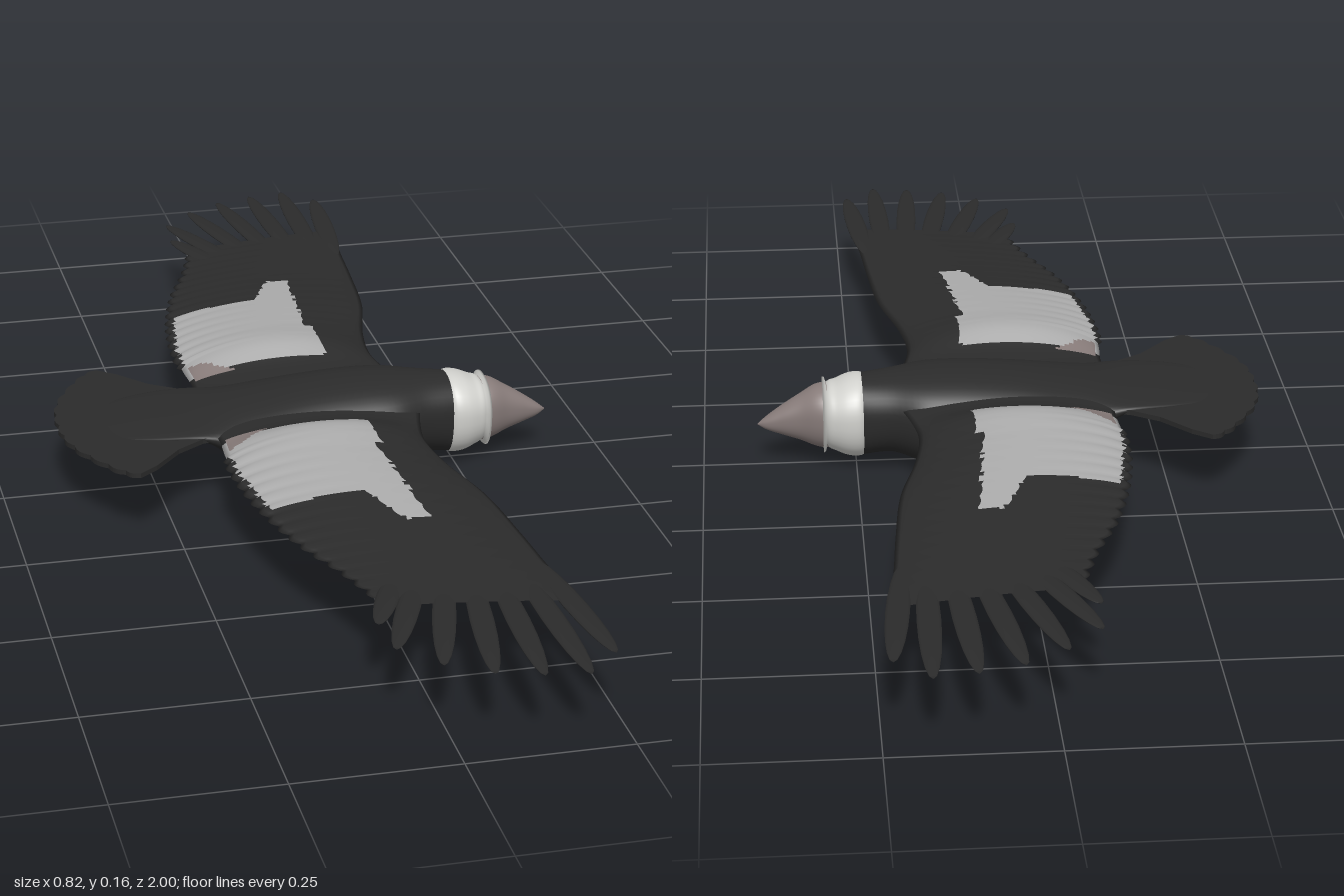
import * as THREE from 'three';

const mat = (name, color) => Object.assign(new THREE.MeshStandardMaterial({ color }), { name });

// Smooth curve through rows of [position, value, value, ...]
function profile(rows) {
  const n = rows[0].length - 1;
  const f = new THREE.CubicInterpolant(rows.map(r => r[0]), rows.flatMap(r => r.slice(1)), n, new Float32Array(n));
  return t => Array.from(f.evaluate(t));
}

// Skin over closed rings; pick(i, j, centre) gives the material index of each cell
function loft(rings, flip = false, pick = () => 0) {
  const n = rings[0].length, pts = rings.flat(), buckets = [[], [], []];
  const mid = new THREE.Vector3();
  for (let i = 0; i < rings.length - 1; i++) {
    for (let j = 0; j < n; j++) {
      const k = (j + 1) % n;
      const a = i * n + j, b = a + n, c = (i + 1) * n + k, d = i * n + k;
      mid.copy(pts[a]).add(pts[c]).multiplyScalar(0.5);
      const bucket = buckets[pick(i, j, mid)];
      bucket.push(...(flip ? [a, b, c, a, c, d] : [a, c, b, a, d, c]));
    }
  }
  const g = new THREE.BufferGeometry().setFromPoints(pts);
  g.setIndex(buckets.flat());
  let start = 0;
  buckets.forEach((b, m) => { if (b.length) g.addGroup(start, b.length, m); start += b.length; });
  g.computeVertexNormals();
  return g;
}

// Rounded loft along x from rows of [x, top, bottom, half width]
function bodyLoft(rows, steps) {
  const f = profile(rows), x0 = rows[0][0], x1 = rows[rows.length - 1][0];
  const rings = [];
  for (let i = 0; i <= steps; i++) {
    const x = x0 + (x1 - x0) * i / steps, [top, bottom, w] = f(x);
    const cy = bottom + (top - bottom) * 0.58;
    rings.push(Array.from({ length: 40 }, (_, j) => {
      const a = j / 40 * Math.PI * 2, c = Math.cos(a), s = Math.sin(a);
      const h = c > 0 ? top - cy : cy - bottom;
      return new THREE.Vector3(x, cy + h * Math.sign(c) * Math.abs(c) ** 0.9, w * Math.sign(s) * Math.abs(s) ** 0.9);
    }));
  }
  return loft(rings);
}

// z, leading x, trailing x, height above and depth below the chord line
const wingRows = profile([
  [0.06, 0.18, -0.17, 0.02, 0.02], [0.12, 0.165, -0.165, 0.024, 0.022],
  [0.18, 0.156, -0.168, 0.043, 0.03], [0.27, 0.165, -0.167, 0.038, 0.027],
  [0.4, 0.195, -0.153, 0.029, 0.021], [0.55, 0.21, -0.118, 0.018, 0.013],
  [0.66, 0.218, -0.078, 0.011, 0.008], [0.78, 0.23, -0.045, 0.003, 0.003],
]);

function wingGeometry(side) {
  const spans = 120, chord = 44, rings = [];
  for (let i = 0; i <= spans; i++) {
    const t = i / spans, z0 = 0.06 + 0.72 * t, [lead, trail, up, down] = wingRows(z0);
    // Feather scallops along the trailing edge
    const edge = trail - (z0 > 0.2 ? 0.009 * Math.abs(Math.sin(z0 * Math.PI / 0.036)) : 0);
    rings.push(Array.from({ length: chord * 2 }, (_, j) => {
      const u = j <= chord ? j / chord : 2 - j / chord;
      const bulge = Math.max(0, Math.sin(Math.PI * u)) ** 0.65;
      const y = 0.119 + bulge * (j <= chord ? up : -down);
      return new THREE.Vector3(lead + (edge - lead) * u, y, side * (z0 - 0.045 * u * t));
    }));
  }
  // Pale patch and small brown corner, on the upper side only
  return loft(rings, side < 0, (i, j, p) => {
    const x = p.x, z = Math.abs(p.z);
    if (j >= chord) return 0;
    if (z > 0.12 && z < 0.17 && x < -0.085 - (z - 0.12) * 1.2 && x > -0.16) return 2;
    const rear = z < 0.25 ? -0.165 : -0.165 + (z - 0.25) * 0.16;
    const inner = z > 0.135 && z < 0.4 && x > rear;
    const spike = z >= 0.4 && z < 0.5 && x > (z - 0.4) * 0.45;
    const front = z < 0.25 ? 0.068 : 0.058 + (z - 0.25) * 0.09;
    return (inner || spike) && x < front ? 1 : 0;
  });
}

// Slim leaf-shaped feather between two points in plan
function featherGeometry(x0, z0, x1, z1, width) {
  const len = Math.hypot(x1 - x0, z1 - z0);
  const g = new THREE.SphereGeometry(1, 14, 10);
  g.rotateZ(-Math.PI / 2);
  g.scale(len / 2, 0.004, width / 2);
  g.rotateY(-Math.atan2(z1 - z0, x1 - x0));
  g.translate((x0 + x1) / 2, 0.12, (z0 + z1) / 2);
  return g;
}

// Fan tail with a scalloped rim
function tailGeometry() {
  const half = [[-0.31, 0.212], [-0.335, 0.19], [-0.362, 0.15], [-0.388, 0.1], [-0.402, 0.05], [-0.405, 0]];
  const rim = [...half, ...half.slice(0, -1).reverse().map(([x, z]) => [x, -z])];
  const curve = new THREE.CatmullRomCurve3(rim.map(([x, z]) => new THREE.Vector3(x, z, 0)));
  const outline = [[-0.12, 0.09], [-0.19, 0.105], [-0.235, 0.135], [-0.28, 0.188]].map(p => new THREE.Vector2(...p));
  for (let i = 0; i <= 96; i++) {
    const p = curve.getPoint(i / 96), k = 1 + 0.018 * Math.abs(Math.sin(i / 96 * Math.PI * 12));
    outline.push(new THREE.Vector2(-0.12 + (p.x + 0.12) * k, p.y * k));
  }
  outline.push(...outline.slice(0, 4).reverse().map(p => new THREE.Vector2(p.x, -p.y)));
  const g = new THREE.ExtrudeGeometry(new THREE.Shape(outline), { depth: 0.008, bevelEnabled: false });
  g.rotateX(Math.PI / 2);
  g.translate(0, 0.121, 0);
  return g;
}

export function createModel() {
  const model = new THREE.Group();
  model.name = 'soaringBird';
  const black = mat('black plumage', 0x2b2b2b);
  const pale = mat('pale wing patch', 0xacacac);
  const white = mat('white collar', 0xd2d2ce);
  const taupe = mat('bare skin', 0x887c7a);
  const add = (name, geometry, material) => {
    const m = new THREE.Mesh(geometry, material);
    m.name = name;
    model.add(m);
  };

  // Body, collar and head, from tail to beak
  add('body', bodyLoft([
    [-0.36, 0.118, 0.114, 0.06], [-0.26, 0.128, 0.112, 0.095], [-0.18, 0.133, 0.098, 0.105],
    [-0.12, 0.142, 0.044, 0.107], [-0.07, 0.149, 0.03, 0.107], [-0.01, 0.157, 0.009, 0.106],
    [0.08, 0.163, 0.001, 0.105], [0.14, 0.162, 0.008, 0.098], [0.19, 0.157, 0.024, 0.074], [0.24, 0.152, 0.018, 0.06],
  ], 60), black);
  add('collar', bodyLoft([
    [0.235, 0.15, 0.02, 0.058], [0.242, 0.153, 0.017, 0.063], [0.262, 0.151, 0.018, 0.064],
    [0.282, 0.143, 0.026, 0.058], [0.297, 0.137, 0.034, 0.05], [0.305, 0.122, 0.045, 0.038], [0.306, 0.085, 0.08, 0.002],
  ], 24), white);
  add('head', bodyLoft([
    [0.288, 0.135, 0.033, 0.045], [0.3, 0.138, 0.031, 0.047], [0.315, 0.136, 0.034, 0.043],
    [0.34, 0.122, 0.044, 0.031], [0.37, 0.103, 0.054, 0.021], [0.398, 0.083, 0.064, 0.01], [0.41, 0.073, 0.071, 0.0005],
  ], 30), taupe);
  add('tail', tailGeometry(), black);

  // Wings with spread flight feathers: base x, z, tip x, z
  const feathers = [
    [0.205, 0.64, 0.232, 0.947], [0.172, 0.65, 0.18, 1.0], [0.135, 0.65, 0.116, 0.99], [0.1, 0.65, 0.05, 0.97],
    [0.065, 0.64, -0.013, 0.93], [0.03, 0.63, -0.066, 0.87], [0.0, 0.62, -0.072, 0.79],
  ];
  for (const side of [1, -1]) {
    const label = side > 0 ? 'right' : 'left';
    add(label + 'Wing', wingGeometry(side), [black, pale, taupe]);
    feathers.forEach(([x0, z0, x1, z1], i) =>
      add(`${label}FlightFeather${i + 1}`, featherGeometry(x0, side * z0, x1, side * z1, 0.036), black));
  }
  return model;
}
